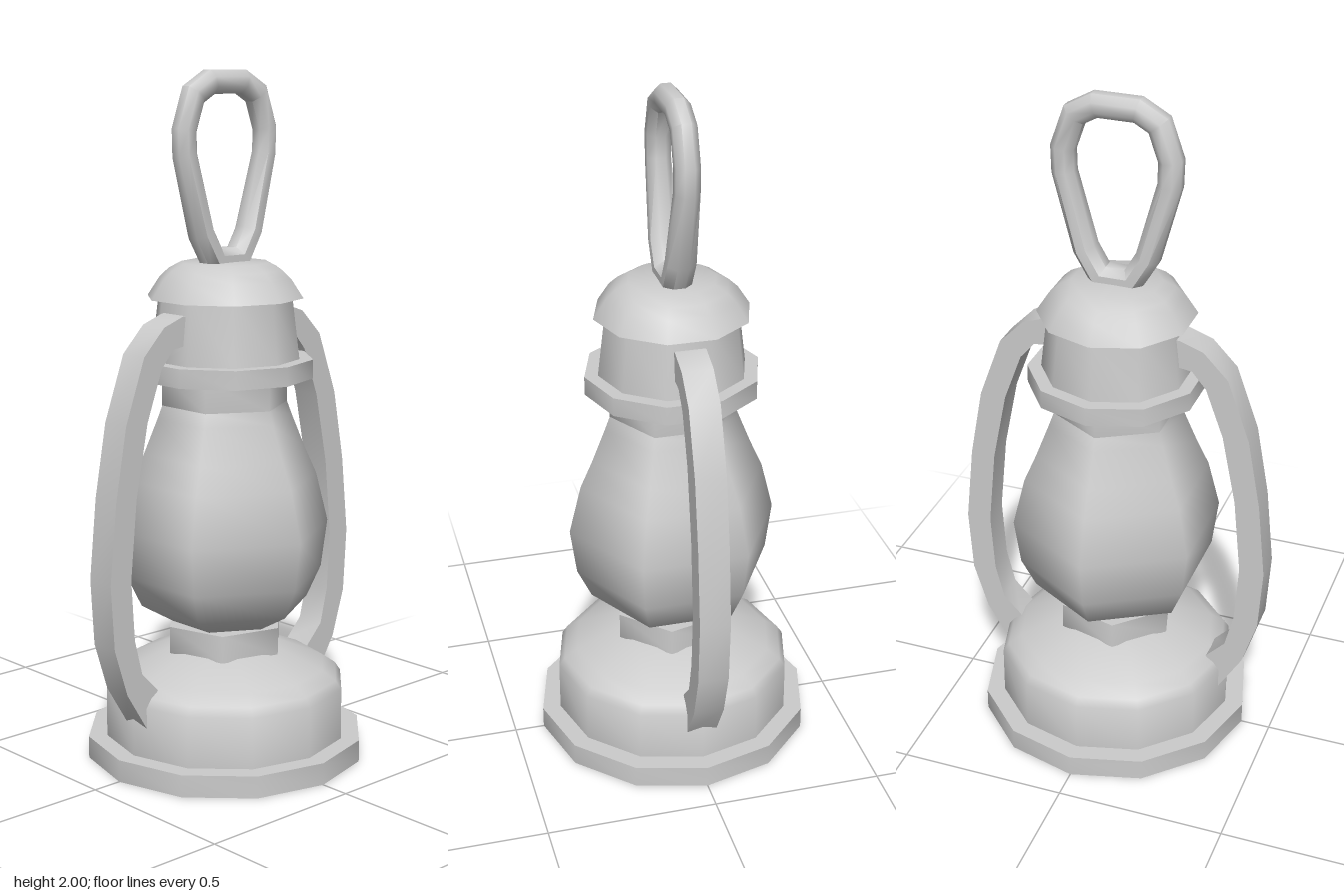
import * as THREE from 'three';
import { toCreasedNormals } from 'three/addons/utils/BufferGeometryUtils.js';

const material = new THREE.MeshStandardMaterial({ color: 0xcccccc });
const rad = THREE.MathUtils.degToRad;

function addMesh(group, name, geometry, crease) {
  const mesh = new THREE.Mesh(toCreasedNormals(geometry, rad(crease)), material);
  mesh.name = name;
  group.add(mesh);
}

// Turned part: [radius, height] profile from bottom to top
function turned(group, name, profile, sides, crease, turn = 0) {
  const points = profile.map(([r, y]) => new THREE.Vector2(r, y));
  addMesh(group, name, new THREE.LatheGeometry(points, sides, rad(turn)), crease);
}

// Closed ring swept along a counter-clockwise path in the xy plane, mitred at each corner
function sweptRing(path, sides) {
  const positions = [], index = [], n = path.length;
  path.forEach(([x, y], i) => {
    const here = new THREE.Vector2(x, y);
    const a = here.clone().sub(new THREE.Vector2(...path[(i + n - 1) % n])).normalize();
    const b = new THREE.Vector2(...path[(i + 1) % n]).sub(here).normalize();
    const t = a.clone().add(b).normalize();
    const across = 0.036 / t.dot(a);
    const deep = y < 1.6 ? 0.045 : 0.037;
    for (let j = 0; j < sides; j++) {
      const ang = (j + 0.5) / sides * Math.PI * 2;
      const c = Math.cos(ang) * across;
      positions.push(x + t.y * c, y - t.x * c, Math.sin(ang) * deep);
      const k = (j + 1) % sides, m = (i + 1) % n;
      const p = i * sides + j, q = i * sides + k, r = m * sides + j, s = m * sides + k;
      index.push(p, r, q, q, r, s);
    }
  });
  const g = new THREE.BufferGeometry();
  g.setAttribute('position', new THREE.Float32BufferAttribute(positions, 3));
  g.setIndex(index);
  return g;
}

export function createModel() {
  const lantern = new THREE.Group();
  lantern.name = 'lantern';

  // Base, hollowed underneath, and fuel tank
  turned(lantern, 'basePlate',
    [[0, 0.03], [0.365, 0.03], [0.405, 0], [0.412, 0], [0.412, 0.065], [0.34, 0.065]], 12, 35);
  turned(lantern, 'fuelTank',
    [[0.34, 0.06], [0.357, 0.06], [0.357, 0.215], [0.34, 0.24], [0.3, 0.268], [0.15, 0.332], [0, 0.332]], 12, 50);

  // Burner neck and glass
  turned(lantern, 'burnerNeck',
    [[0, 0.32], [0.182, 0.32], [0.182, 0.4], [0, 0.4]], 6, 65, 15);
  turned(lantern, 'glassGlobe',
    [[0, 0.4], [0.155, 0.402], [0.25, 0.455], [0.293, 0.545], [0.312, 0.685], [0.276, 0.83],
      [0.24, 0.91], [0.2, 1.01], [0.185, 1.05], [0, 1.05]], 6, 65);
  turned(lantern, 'upperNeck',
    [[0, 1.05], [0.186, 1.05], [0.186, 1.14], [0, 1.14]], 6, 65);

  // Chimney
  turned(lantern, 'collar',
    [[0, 1.13], [0.257, 1.13], [0.257, 1.185], [0, 1.185]], 10, 40);
  turned(lantern, 'chimney',
    [[0.2, 1.18], [0.218, 1.18], [0.195, 1.37], [0, 1.37]], 10, 50);
  turned(lantern, 'chimneyCap',
    [[0.18, 1.36], [0.228, 1.36], [0.192, 1.415], [0.165, 1.44], [0.128, 1.46], [0, 1.463]], 10, 50);

  // Curved side bars, one on each side
  const barOutline = [
    [0.17, 1.325], [0.2, 1.325], [0.27, 1.3], [0.343, 1.225], [0.41, 1.04], [0.448, 0.83],
    [0.471, 0.6], [0.459, 0.41], [0.415, 0.27], [0.345, 0.155],
    [0.29, 0.24], [0.307, 0.265], [0.36, 0.32], [0.386, 0.425], [0.397, 0.6], [0.375, 0.83],
    [0.333, 1.04], [0.28, 1.185], [0.238, 1.235], [0.17, 1.245],
  ];
  for (const [side, name] of [[1, 'leftSideBar'], [-1, 'rightSideBar']]) {
    const shape = new THREE.Shape(barOutline.map(([x, y]) => new THREE.Vector2(side * x, y)));
    const bar = new THREE.ExtrudeGeometry(shape, { depth: 0.09, bevelEnabled: false });
    bar.translate(0, 0, -0.045);
    addMesh(lantern, name, bar, 40);
  }

  // Carrying loop, mirrored from its right half
  const half = [[0.047, 1.468], [0.092, 1.545], [0.152, 1.765], [0.154, 1.835], [0.12, 1.932], [0.06, 1.966]];
  const loop = [...half, ...half.map(([x, y]) => [-x, y]).reverse()];
  addMesh(lantern, 'carryingLoop', sweptRing(loop, 8), 50);

  return lantern;
}
